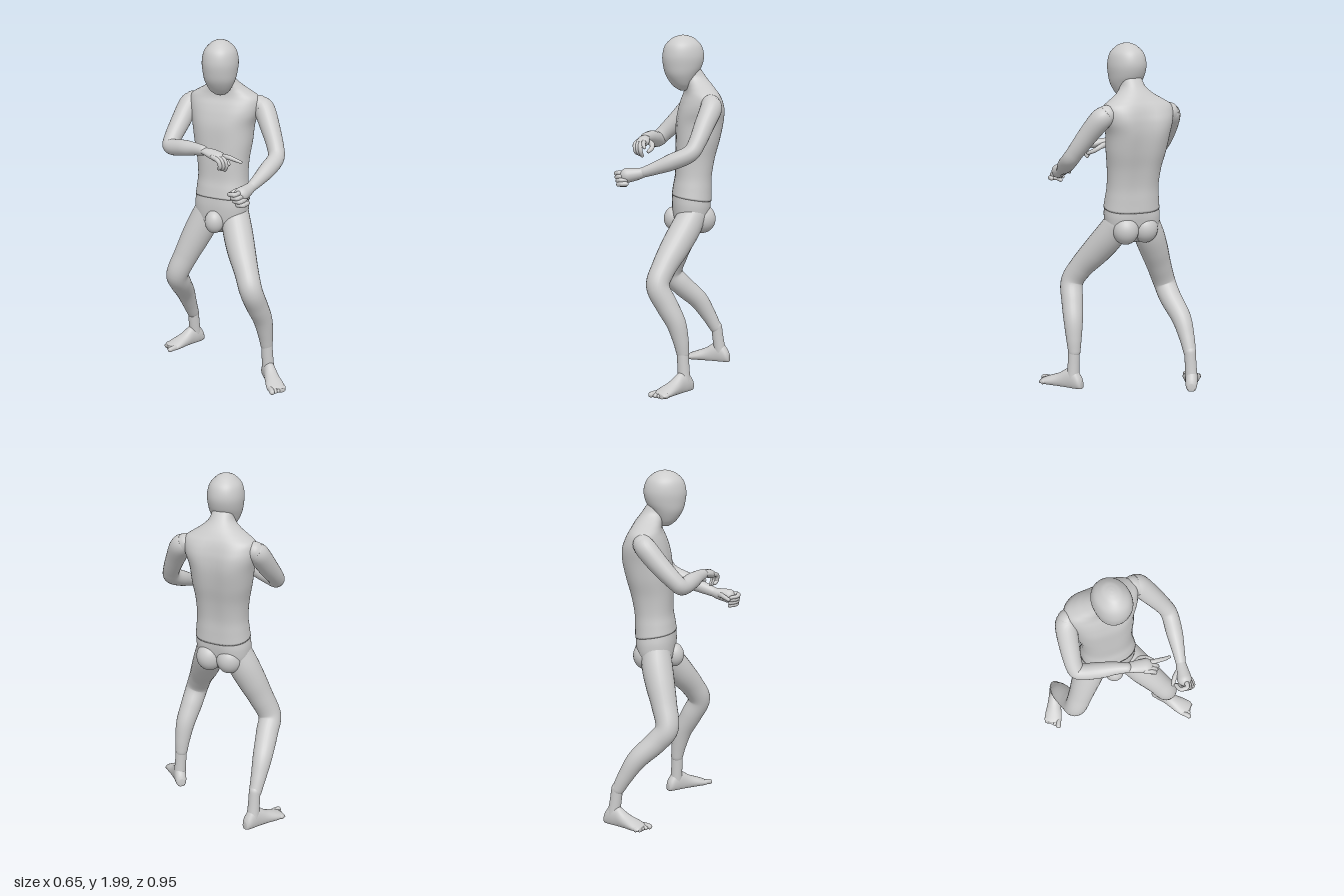
import * as THREE from 'three';

const V = (x, y, z) => new THREE.Vector3(x, y, z);
const material = new THREE.MeshStandardMaterial({ color: 0xcccccc });
const smooth = (pts) => new THREE.CatmullRomCurve3(pts, false, 'catmullrom', 0.5);

// Skin a list of equal-length point rings, closing both ends with a fan.
function skin(name, rings) {
  const n = rings[0].length, pos = [], idx = [];
  rings.forEach((r) => r.forEach((p) => pos.push(p.x, p.y, p.z)));
  for (let i = 0; i < rings.length - 1; i++) {
    for (let j = 0; j < n; j++) {
      const a = i * n + j, b = i * n + (j + 1) % n;
      idx.push(a, a + n, b, b, a + n, b + n);
    }
  }
  [0, rings.length - 1].forEach((i) => {
    const c = rings[i].reduce((s, p) => s.add(p), V(0, 0, 0)).divideScalar(n);
    const k = pos.length / 3;
    pos.push(c.x, c.y, c.z);
    for (let j = 0; j < n; j++) {
      const a = i * n + j, b = i * n + (j + 1) % n;
      if (i === 0) idx.push(k, a, b); else idx.push(k, b, a);
    }
  });
  const g = new THREE.BufferGeometry();
  g.setAttribute('position', new THREE.Float32BufferAttribute(pos, 3));
  g.setIndex(idx);
  g.computeVertexNormals();
  const mesh = new THREE.Mesh(g, material);
  mesh.name = name;
  return mesh;
}

// Upright body volume. Row: [y, cx, cz, yaw, halfWidth, halfDepth, groove, tilt]
function body(name, rows, power = 2.3, n = 48, steps = 6) {
  const mid = smooth(rows.map((r) => V(r[1], r[0], r[2])));
  const size = smooth(rows.map((r) => V(r[4], r[5], r[3])));
  const extra = smooth(rows.map((r) => V(r[6] || 0, r[7] || 0, 0)));
  const rings = [], count = (rows.length - 1) * steps;
  for (let i = 0; i <= count; i++) {
    const u = i / count, c = mid.getPoint(u), s = size.getPoint(u), e = extra.getPoint(u);
    const yaw = THREE.MathUtils.degToRad(s.z), cy = Math.cos(yaw), sy = Math.sin(yaw);
    rings.push(Array.from({ length: n }, (_, j) => {
      const t = (j / n) * Math.PI * 2, ct = Math.cos(t), st = Math.sin(t);
      const dent = 1 - e.x * (st < 0 ? 1 : 0.35) * Math.exp(-((ct / 0.32) ** 2));
      const w = Math.sign(ct) * Math.abs(ct) ** (2 / power) * s.x;
      const d = Math.sign(st) * Math.abs(st) ** (2 / power) * s.y * dent;
      return V(c.x + w * cy - d * sy, c.y + d * e.y, c.z + w * sy + d * cy);
    }));
  }
  return skin(name, rings);
}

// Tapered limb with rounded ends. Point: [x, y, z, radius]
function limb(name, pts, n = 24, steps = 7, flat = 1) {
  const path = smooth(pts.map((p) => V(p[0], p[1], p[2])));
  const rad = smooth(pts.map((p) => V(p[3], 0, 0)));
  const stations = [], count = (pts.length - 1) * steps;
  const add = (u, slide, k) => {
    const t = path.getTangent(u), r = rad.getPoint(u).x;
    stations.push({ p: path.getPoint(u).addScaledVector(t, slide * r), t, r: r * k });
  };
  for (let i = 5; i >= 1; i--) add(0, -Math.sin(i * 0.3), Math.cos(i * 0.3));
  for (let i = 0; i <= count; i++) add(i / count, 0, 1);
  for (let i = 1; i <= 5; i++) add(1, Math.sin(i * 0.3), Math.cos(i * 0.3));
  return skin(name, stations.map(({ p, t, r }) => {
    const v = V(1, 0, 0).addScaledVector(t, -t.x).normalize();
    const u = t.clone().cross(v);
    return Array.from({ length: n }, (_, j) => {
      const a = (j / n) * Math.PI * 2;
      return p.clone().addScaledVector(u, Math.cos(a) * r * flat).addScaledVector(v, Math.sin(a) * r);
    });
  }));
}

function ball(name, x, y, z, rx, ry, rz, yaw) {
  const m = new THREE.Mesh(new THREE.SphereGeometry(1, 32, 20), material);
  m.name = name;
  m.position.set(x, y, z);
  m.scale.set(rx, ry, rz);
  m.rotation.y = -THREE.MathUtils.degToRad(yaw);
  return m;
}

// Bare foot pointing along local +z, big toe on the given side of x.
function foot(name, x, z, yaw, bigSide, ankleTop) {
  const g = new THREE.Group();
  g.name = name;
  const rows = [[-0.06, 0.018, 0.045], [-0.045, 0.031, 0.075], [-0.01, 0.036, 0.115], [0.035, 0.037, 0.11],
    [0.09, 0.044, 0.075], [0.145, 0.053, 0.052], [0.185, 0.053, 0.036], [0.205, 0.047, 0.026]];
  const curve = smooth(rows.map((r) => V(r[1], r[2], r[0])));
  const rings = [];
  for (let i = 0; i <= 35; i++) {
    const p = curve.getPoint(i / 35);
    rings.push(Array.from({ length: 28 }, (_, j) => {
      const a = (j / 28) * Math.PI * 2;
      return V(Math.sin(a) * p.x, 0.01 + Math.max(0, p.y * (0.42 + 0.58 * Math.cos(a))), p.z);
    }));
  }
  g.add(skin('footBody', rings));
  for (let i = 0; i < 5; i++) {
    const r = i ? 0.0115 : 0.0155, s = bigSide * (0.037 - i * 0.0195 - (i ? 0.003 : 0));
    g.add(limb('toe', [[s, 0.026, 0.17, r], [s, 0.028, 0.2 - i * 0.005, r], [s, 0.01 + r, 0.222 - i * 0.01, r]], 12, 4));
  }
  const [ax, az] = ankleTop;
  g.position.set(x, 0, z);
  g.rotation.y = -THREE.MathUtils.degToRad(yaw);
  g.add(limb('ankle', [[ax, 0.225, az, 0.033], [ax / 2, 0.14, az / 2, 0.034], [0, 0.07, 0.0, 0.036]]));
  return g;
}

export function createModel() {
  const model = new THREE.Group();
  model.name = 'figure';

  // Head, leaning a little forward and turned to its right
  const f = (off) => [-0.42 * off, -0.035 + 0.91 * off];
  const head = [[1.686, 0, 0.018, 0.018], [1.695, 0.002, 0.036, 0.034], [1.72, 0.01, 0.06, 0.056],
    [1.77, 0.012, 0.085, 0.087], [1.82, 0.004, 0.097, 0.11], [1.88, 0, 0.102, 0.12],
    [1.94, 0, 0.089, 0.105], [1.98, 0, 0.054, 0.066], [1.995, 0, 0.026, 0.031], [2, 0, 0.004, 0.005]];
  model.add(body('head', head.map(([y, o, a, b]) => [y, ...f(o), 25, a, b]), 2.1));

  // Torso with neck, shoulder slope and spine groove
  model.add(body('torso', [
    [1.07, 0.025, -0.08, 42, 0.162, 0.116, 0.03, 0.16],
    [1.13, 0.027, -0.084, 42, 0.155, 0.113, 0.05, 0.08],
    [1.2, 0.03, -0.09, 42, 0.149, 0.11, 0.08],
    [1.3, 0.033, -0.1, 42, 0.155, 0.119, 0.1],
    [1.4, 0.038, -0.115, 41, 0.172, 0.132, 0.12],
    [1.5, 0.042, -0.128, 40, 0.184, 0.142, 0.16],
    [1.57, 0.05, -0.132, 38, 0.203, 0.136, 0.18],
    [1.62, 0.053, -0.132, 36, 0.21, 0.12, 0.16],
    [1.66, 0.053, -0.13, 35, 0.202, 0.1, 0.1],
    [1.69, 0.05, -0.122, 34, 0.16, 0.086, 0.04],
    [1.72, 0.045, -0.11, 32, 0.112, 0.076],
    [1.76, 0.035, -0.092, 30, 0.07, 0.066],
    [1.81, 0.02, -0.068, 28, 0.058, 0.06]]));

  // Pelvis
  model.add(body('pelvis', [
    [0.87, 0.0, -0.075, 42, 0.05, 0.05],
    [0.9, 0.01, -0.078, 42, 0.11, 0.083],
    [0.95, 0.017, -0.08, 42, 0.152, 0.105, 0.08],
    [1.02, 0.021, -0.08, 42, 0.162, 0.114, 0.06, 0.08],
    [1.08, 0.025, -0.08, 42, 0.158, 0.112, 0.02, 0.16]]));
  model.add(ball('groin', -0.045, 0.945, 0.0, 0.055, 0.068, 0.055, 42));
  model.add(ball('leftButtock', 0.105, 0.95, -0.085, 0.075, 0.083, 0.078, 42));
  model.add(ball('rightButtock', 0.005, 0.95, -0.155, 0.075, 0.083, 0.078, 42));

  // Legs: left steps forward, right trails behind
  model.add(limb('leftLeg', [[0.085, 0.98, -0.03, 0.082], [0.085, 0.89, 0.04, 0.086], [0.087, 0.8, 0.12, 0.082],
    [0.095, 0.7, 0.212, 0.07], [0.107, 0.605, 0.27, 0.066], [0.15, 0.5, 0.243, 0.063],
    [0.193, 0.4, 0.212, 0.056], [0.215, 0.3, 0.196, 0.045], [0.225, 0.225, 0.188, 0.036]]));
  model.add(limb('rightLeg', [[-0.045, 0.98, -0.125, 0.085], [-0.085, 0.89, -0.138, 0.088], [-0.13, 0.8, -0.146, 0.083],
    [-0.18, 0.7, -0.152, 0.073], [-0.232, 0.58, -0.165, 0.066], [-0.205, 0.5, -0.218, 0.064],
    [-0.155, 0.4, -0.315, 0.057], [-0.118, 0.3, -0.37, 0.045], [-0.09, 0.22, -0.404, 0.036]]));
  model.add(foot('leftFoot', 0.237, 0.19, 0, -1, [-0.011, 0]));
  model.add(foot('rightFoot', -0.072, -0.425, 65, 1, [0.01, 0.02]));

  // Arms
  model.add(limb('leftArm', [[0.225, 1.615, -0.03, 0.056], [0.25, 1.59, -0.005, 0.061], [0.265, 1.51, 0.06, 0.056],
    [0.278, 1.41, 0.135, 0.048], [0.268, 1.355, 0.182, 0.047], [0.2, 1.312, 0.25, 0.046],
    [0.135, 1.278, 0.308, 0.036], [0.085, 1.255, 0.35, 0.029]]));
  model.add(limb('rightArm', [[-0.11, 1.61, -0.245, 0.056], [-0.14, 1.585, -0.238, 0.06], [-0.2, 1.5, -0.19, 0.056],
    [-0.262, 1.415, -0.13, 0.048], [-0.272, 1.385, -0.09, 0.046], [-0.218, 1.4, 0.005, 0.045],
    [-0.172, 1.41, 0.075, 0.036], [-0.14, 1.415, 0.13, 0.029]]));

  // Left hand, closed to a loose fist
  const fist = new THREE.Group();
  fist.name = 'leftHand';
  fist.add(limb('palm', [[0.09, 1.257, 0.346, 0.025], [0.058, 1.245, 0.372, 0.033], [0.012, 1.235, 0.412, 0.041]]));
  for (let i = 0; i < 4; i++) {
    const x = -0.03 + i * 0.013, y = 1.25 - i * 0.019, z = 0.42 + i * 0.006;
    fist.add(limb('finger', [[x + 0.03, y, z + 0.005, 0.013], [x + 0.002, y - 0.002, z + 0.031, 0.0135],
      [x - 0.026, y - 0.008, z + 0.005, 0.012], [x - 0.015, y - 0.014, z - 0.03, 0.011]], 12, 5));
  }
  fist.add(limb('thumb', [[0.04, 1.245, 0.365, 0.017], [-0.005, 1.24, 0.362, 0.014], [-0.045, 1.225, 0.372, 0.011]], 12, 5));
  model.add(fist);

  // Right hand, index finger pointing and the others hanging
  const hand = new THREE.Group();
  hand.name = 'rightHand';
  hand.add(limb('palm', [[-0.143, 1.415, 0.124, 0.025], [-0.115, 1.412, 0.165, 0.034], [-0.075, 1.4, 0.215, 0.041]], 24, 7, 0.62));
  hand.add(limb('indexFinger', [[-0.06, 1.402, 0.215, 0.014], [-0.025, 1.402, 0.252, 0.013],
    [0.01, 1.392, 0.284, 0.011], [0.037, 1.382, 0.302, 0.008]], 12, 5));
  for (let i = 0; i < 3; i++) {
    const x = -0.057 - i * 0.018, z = 0.236 + i * 0.003;
    hand.add(limb('finger', [[x - 0.012, 1.4, z - 0.015, 0.014], [x + 0.01, 1.388, z + 0.022, 0.013],
      [x + 0.02, 1.355, z + 0.028, 0.012], [x + 0.016, 1.328 + i * 0.006, z + 0.012, 0.01]], 12, 5));
  }
  hand.add(limb('thumb', [[-0.1, 1.4, 0.155, 0.018], [-0.05, 1.388, 0.165, 0.015],
    [-0.024, 1.368, 0.19, 0.013], [-0.014, 1.352, 0.225, 0.01]], 12, 5));
  model.add(hand);

  return model;
}
